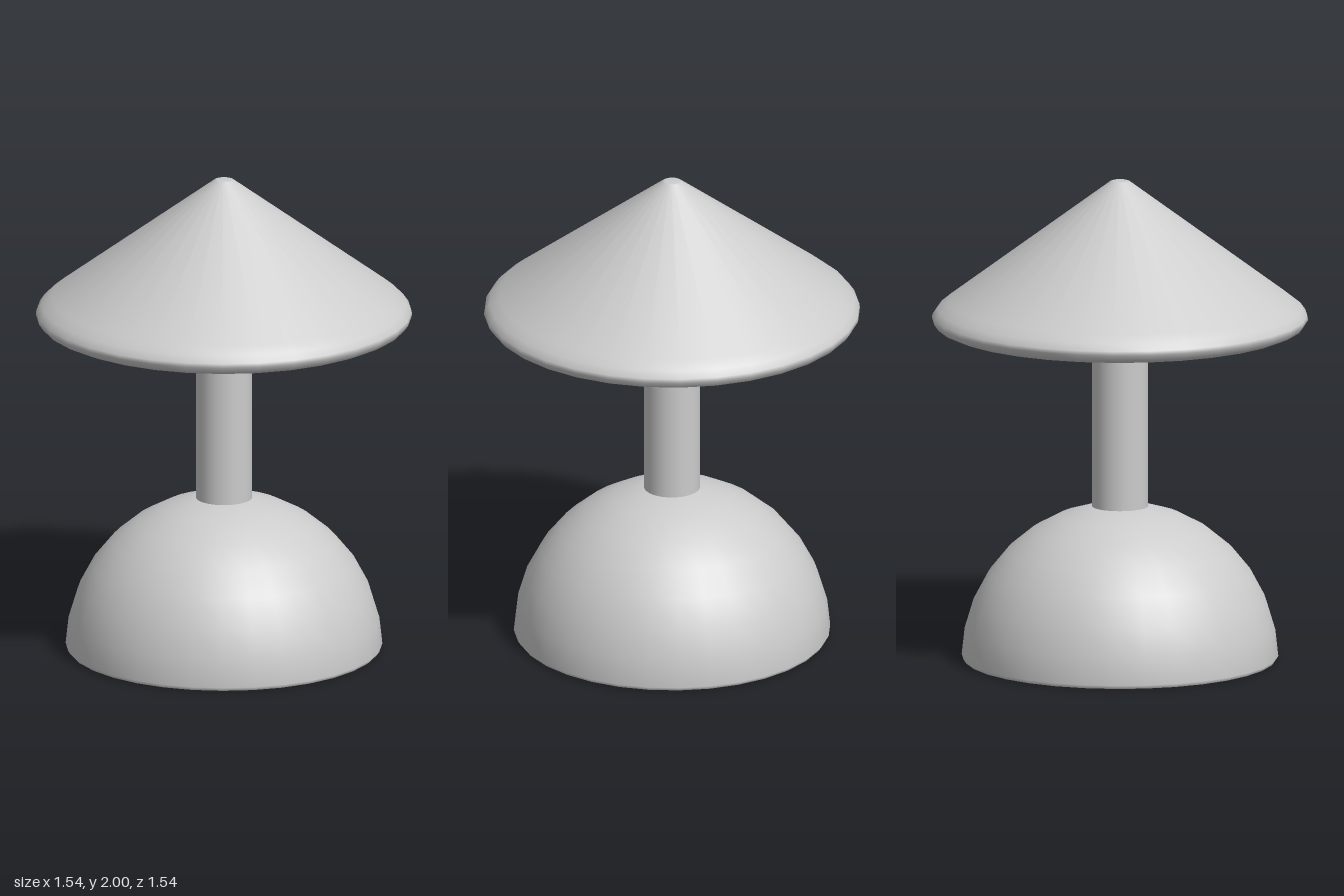
import * as THREE from 'three';

const SIDES = 32;

// Revolves [radius, y] points; a repeated point makes a sharp edge.
function turned(name, profile) {
  const points = profile.map(([r, y]) => new THREE.Vector2(r, y));
  const material = new THREE.MeshStandardMaterial({ color: 0xcccccc });
  const mesh = new THREE.Mesh(new THREE.LatheGeometry(points, SIDES), material);
  mesh.name = name;
  return mesh;
}

export function createModel() {
  const lamp = new THREE.Group();
  lamp.name = 'tableLamp';

  // Solid half-sphere base with a slightly eased bottom edge
  const radius = 0.65;
  const dome = [[0, 0], [0.64, 0], [0.64, 0], [radius, 0.015]];
  for (let i = 1; i <= 8; i++) {
    const a = (i / 8) * Math.PI / 2;
    dome.push([i === 8 ? 0 : radius * Math.cos(a), radius * Math.sin(a)]);
  }
  lamp.add(turned('base', dome));

  // Stem running from the dome up into the shade
  lamp.add(turned('stem', [
    [0, 0.6], [0.115, 0.6], [0.115, 0.6], [0.115, 1.76], [0.115, 1.76], [0, 1.76],
  ]));

  // Hollow conical shade: inner cone, flat underside, rounded rim, outer cone
  lamp.add(turned('shade', [
    [0, 1.81], [0.59, 1.37], [0.59, 1.37],
    [0.66, 1.37], [0.72, 1.38], [0.755, 1.395], [0.772, 1.42], [0.77, 1.437], [0.75, 1.465],
    [0.71, 1.497], [0.04, 1.997], [0.03, 2], [0, 2],
  ]));

  return lamp;
}
